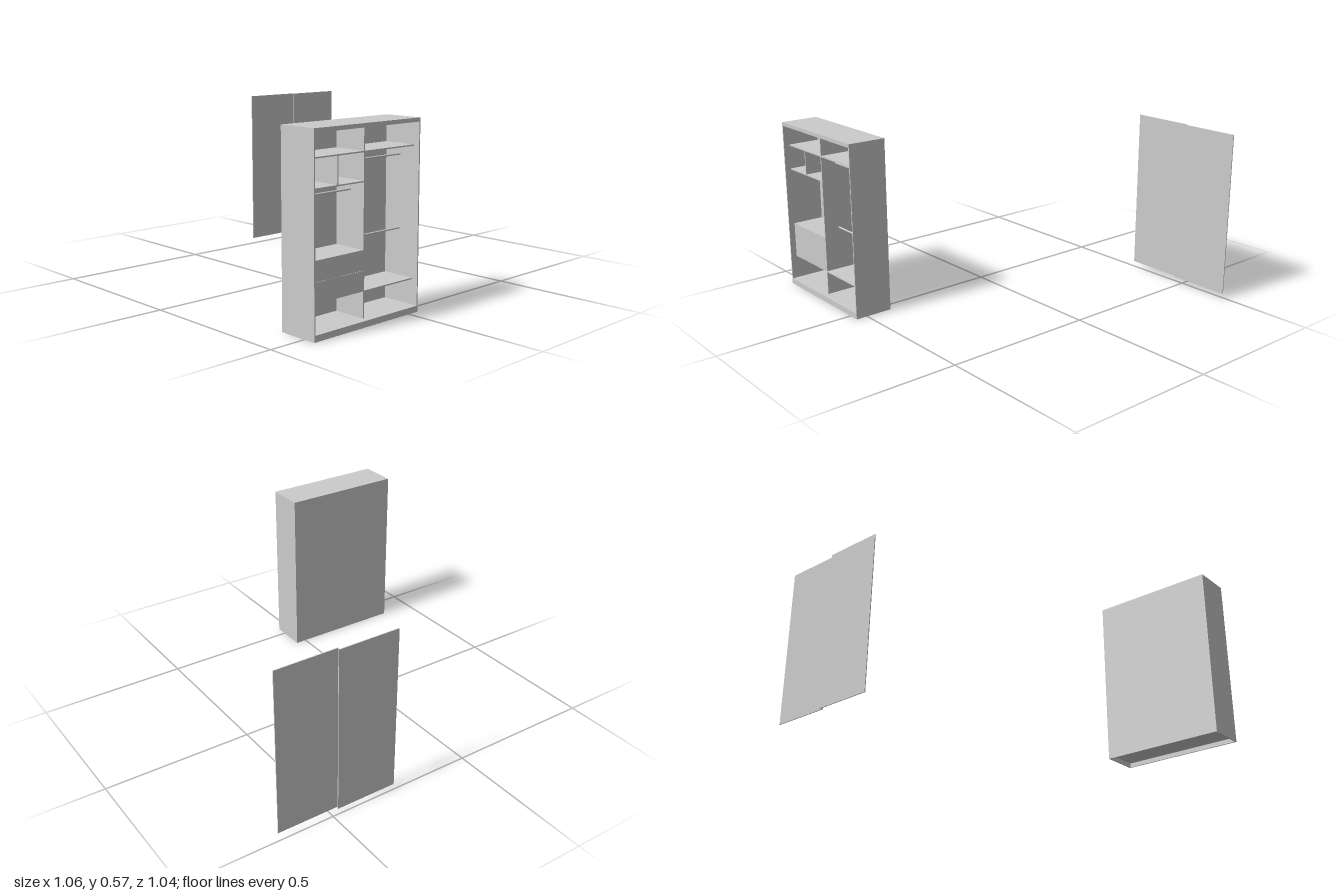
import * as THREE from 'three';

export function createModel() {
  const model = new THREE.Group();
  const mat = new THREE.MeshStandardMaterial({ color: 0xcccccc });

  // Box given by its min and max on each axis
  function board(name, x0, x1, y0, y1, z0, z1, parent) {
    const mesh = new THREE.Mesh(new THREE.BoxGeometry(x1 - x0, y1 - y0, z1 - z0), mat);
    mesh.position.set((x0 + x1) / 2, (y0 + y1) / 2, (z0 + z1) / 2);
    mesh.name = name;
    parent.add(mesh);
  }

  const t = 0.004; // board thickness
  const L = -0.38, R = 0.037, H = 0.574, back = -0.09, front = 0.039;
  const inner = front - 0.02; // front edge of the fittings, behind the door tracks
  const bottom = 0.019, ceiling = 0.562;
  const mid0 = -0.173, mid1 = mid0 + t;

  // Carcass
  const carcass = new THREE.Group();
  carcass.name = 'carcass';
  board('rightSide', L, L + t, 0, H - t, back, front, carcass);
  board('leftSide', R - t, R, 0, H - t, back, front, carcass);
  board('topPanel', L, R, H - t, H, back, front, carcass);
  board('topFascia', L + t, R - t, ceiling, H - t, front - t, front, carcass);
  board('bottomPanel', L + t, R - t, bottom - t, bottom, back + 0.002, front, carcass);
  board('plinth', L + t, R - t, 0, bottom - t, front - t, front, carcass);
  board('backPanel', L + t, R - t, 0, H - t, back, back + 0.002, carcass);
  model.add(carcass);

  // Dividers and shelves
  const fittings = new THREE.Group();
  fittings.name = 'fittings';
  const zb = back + 0.002;
  board('divider', mid0, mid1, bottom, H - t, zb, inner, fittings);
  for (const y of [0.493, 0.41]) board('shelf', L + t, mid0, y - t / 2, y + t / 2, zb, inner, fittings);
  for (const y of [0.493, 0.098]) board('shelf', mid1, R - t, y - t / 2, y + t / 2, zb, inner, fittings);
  board('smallDivider', -0.276, -0.272, 0.412, 0.491, zb, inner, fittings);
  model.add(fittings);

  // Hanging rails
  function rail(x0, x1, y) {
    const mesh = new THREE.Mesh(new THREE.CylinderGeometry(0.003, 0.003, x1 - x0, 16), mat);
    mesh.rotation.z = Math.PI / 2;
    mesh.position.set((x0 + x1) / 2, y, (zb + inner) / 2);
    mesh.name = 'hangingRail';
    model.add(mesh);
  }
  rail(L + t, mid0, 0.383);
  rail(mid1, R - t, 0.463);
  rail(mid1, R - t, 0.243);

  // Drawer block: two drawers stacked between floating top and base
  const drawers = new THREE.Group();
  drawers.name = 'drawers';
  board('drawerCase', L + t, mid0, 0.098, 0.217, zb, inner - t, drawers);
  for (const y of [0.098, 0.1578]) {
    board('drawerFront', L + t, mid0, y, y + 0.0592, inner - t, inner, drawers);
  }
  model.add(drawers);

  // Pair of sliding doors standing apart, on two tracks
  const doors = new THREE.Group();
  doors.name = 'slidingDoors';
  board('rearDoor', 0.276, 0.482, 0.02, 0.564, -1, -0.997, doors);
  board('frontDoor', 0.477, 0.684, 0.02, 0.564, -0.991, -0.988, doors);
  model.add(doors);

  return model;
}
